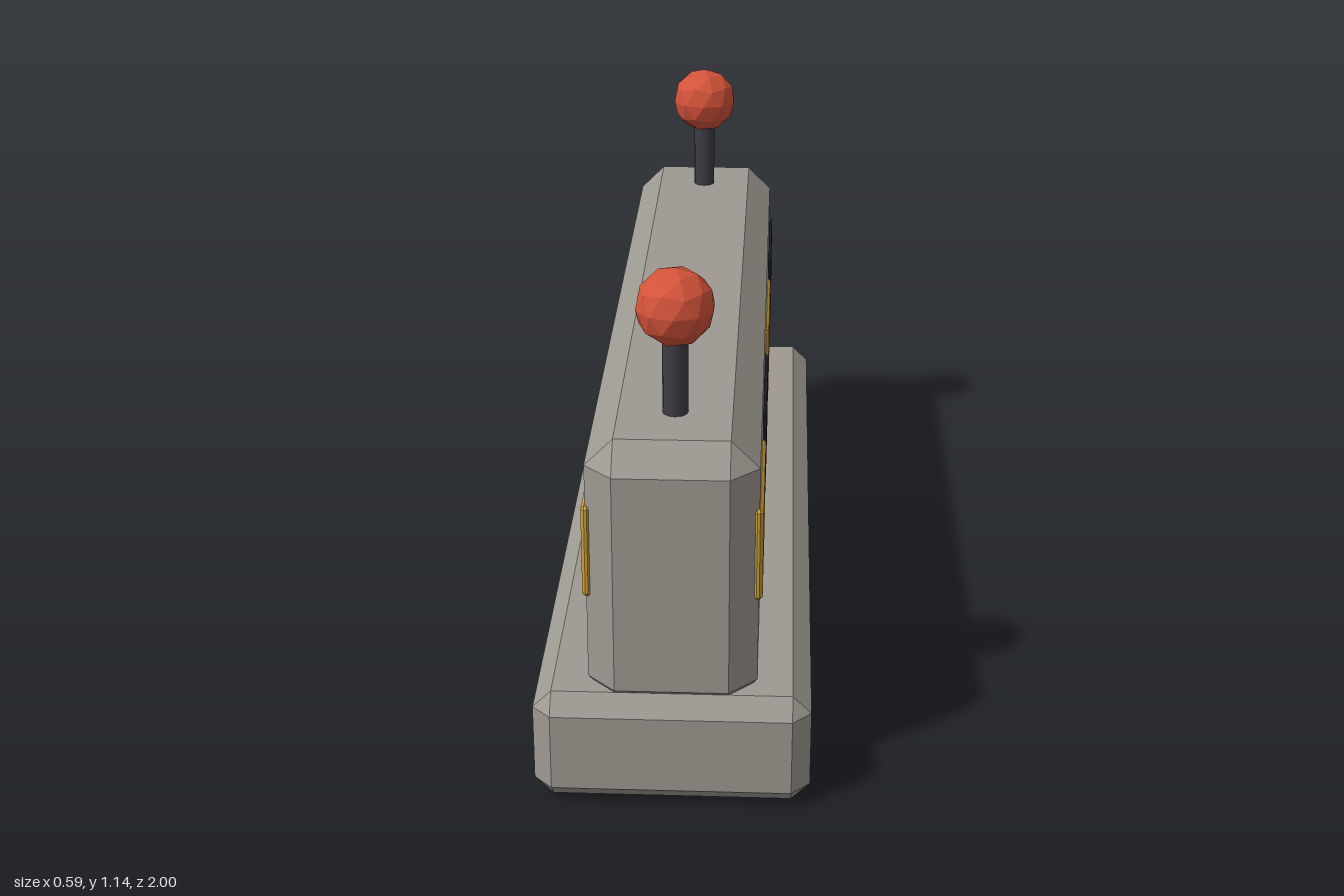
import * as THREE from 'three';
import { ConvexGeometry } from 'three/addons/geometries/ConvexGeometry.js';

function material(name, color) {
  const m = new THREE.MeshStandardMaterial({ color });
  m.name = name;
  return m;
}

// Box with every edge cut by a single 45 degree bevel
function bevelledBox(w, h, d, bevel) {
  const half = [w / 2, h / 2, d / 2];
  const points = [];
  for (const sx of [-1, 1]) for (const sy of [-1, 1]) for (const sz of [-1, 1]) {
    for (let face = 0; face < 3; face++) {
      const c = half.map((v, i) => (i === face ? v : v - bevel));
      points.push(new THREE.Vector3(c[0] * sx, c[1] * sy, c[2] * sz));
    }
  }
  return new ConvexGeometry(points);
}

export function createModel() {
  const model = new THREE.Group();
  model.name = 'roadBarrier';

  const concrete = material('concrete grey', 0x9e9a92);
  const yellow = material('warning yellow', 0xc99c36);
  const black = material('warning black', 0x23232e);
  const steel = material('dark steel', 0x3e3d45);
  const red = material('lamp red', 0xd4533a);

  function add(name, geometry, mat, x, y, z) {
    const mesh = new THREE.Mesh(geometry, mat);
    mesh.name = name;
    mesh.position.set(x, y, z);
    model.add(mesh);
    return mesh;
  }

  // Wide foot and the wall sunk slightly into it
  add('base', bevelledBox(0.59, 0.255, 2, 0.04), concrete, 0, 0.1275, 0);
  add('wall', bevelledBox(0.36, 0.615, 1.94, 0.06), concrete, 0, 0.5125, 0);

  // Alternating warning panels, the same on both sides
  const panel = bevelledBox(0.02, 0.21, 0.355, 0.007);
  for (const side of [-1, 1]) {
    [0.745, 0.257, -0.257, -0.745].forEach((z, i) => {
      add('warningPanel', panel, i % 2 ? black : yellow, side * 0.178, 0.565, z);
    });
  }

  // Lamp on a short post at each end; faceted globe with a vertex at the top
  const post = new THREE.CylinderGeometry(0.027, 0.027, 0.23, 12);
  const globe = new THREE.IcosahedronGeometry(0.084, 1);
  globe.rotateX(-Math.atan((1 + Math.sqrt(5)) / 2)).rotateY(Math.PI / 2);
  globe.deleteAttribute('normal');
  globe.computeVertexNormals();
  for (const z of [0.77, -0.77]) {
    add('lampPost', post, steel, 0, 0.905, z);
    add('lampGlobe', globe, red, 0, 1.055, z);
  }

  return model;
}
